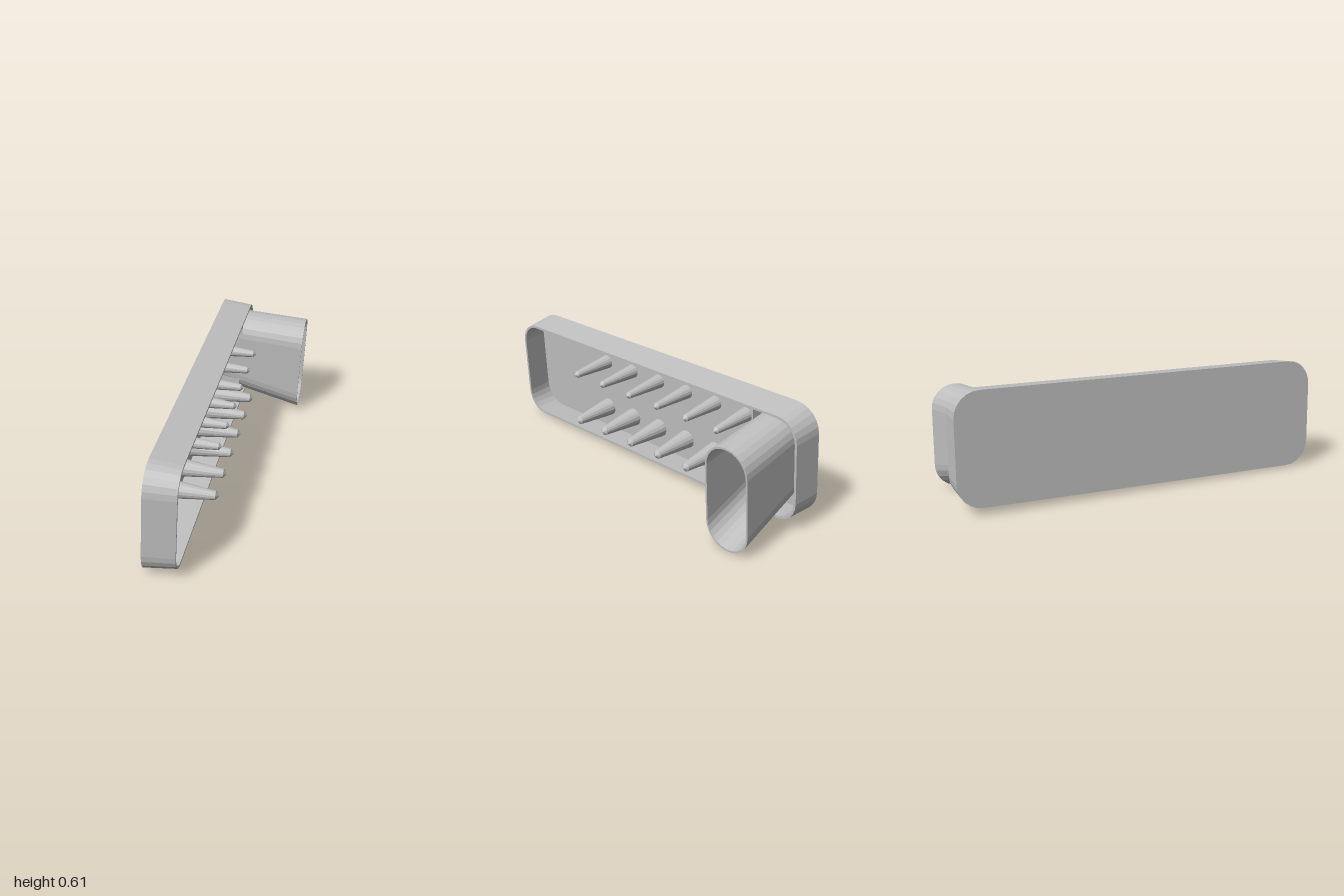
import * as THREE from 'three';

const grey = new THREE.MeshStandardMaterial({ color: 0xc0c0c0 });
grey.name = 'plain grey';

// Rounded rectangle cross-section at depth x, centred on (y, z), with half sizes hy and hz
function ring(x, y, z, hy, hz, r, steps = 6) {
  const pts = [];
  const corners = [[1, 1], [-1, 1], [-1, -1], [1, -1]];
  corners.forEach(([sy, sz], k) => {
    for (let i = 0; i <= steps; i++) {
      const a = (k + i / steps) * Math.PI / 2;
      pts.push([x, y + sy * (hy - r) + r * Math.cos(a), z + sz * (hz - r) + r * Math.sin(a)]);
    }
  });
  return pts;
}

// Skin through successive rings, optionally closing both ends
function loft(rings, capped) {
  const pos = [];
  const tri = (...p) => p.forEach(v => pos.push(...v));
  const n = rings[0].length;
  for (let j = 0; j < rings.length - 1; j++) {
    for (let i = 0; i < n; i++) {
      const k = (i + 1) % n;
      const a = rings[j][i], b = rings[j][k], c = rings[j + 1][k], d = rings[j + 1][i];
      tri(a, b, c);
      tri(a, c, d);
    }
  }
  if (capped) {
    const first = rings[0], last = rings[rings.length - 1];
    for (let i = 1; i < n - 1; i++) {
      tri(first[0], first[i + 1], first[i]);
      tri(last[0], last[i], last[i + 1]);
    }
  }
  const g = new THREE.BufferGeometry();
  g.setAttribute('position', new THREE.Float32BufferAttribute(pos, 3));
  g.computeVertexNormals();
  return g;
}

function add(parent, name, geometry) {
  const mesh = new THREE.Mesh(geometry, grey);
  mesh.name = name;
  parent.add(mesh);
  return mesh;
}

// Tapered peg with a blunt conical tip, standing along +x
function pegGeometry(rBase, rTip) {
  const profile = [[rBase, 0], [rTip, 0.224], [0, 0.24]].map(p => new THREE.Vector2(...p));
  const g = new THREE.LatheGeometry(profile, 16).toNonIndexed();
  g.computeVertexNormals();
  return g.rotateZ(-Math.PI / 2);
}

export function createModel() {
  const model = new THREE.Group();
  model.name = 'pegTray';

  // Tilted frame: x is the tray depth, y its height, z its length
  const body = new THREE.Group();
  body.name = 'tiltedBody';
  const length = new THREE.Vector3(0.115, -0.016, 0.993).normalize();
  const depth = new THREE.Vector3(0.05, 1, 0.01).cross(length).normalize();
  const height = length.clone().cross(depth);
  body.quaternion.setFromRotationMatrix(new THREE.Matrix4().makeBasis(depth, height, length));
  body.position.set(-0.141, 0.315, 0.018);
  model.add(body);

  // Shallow tray with drafted thin walls
  const floor = 0.012, rim = 0.156;
  add(body, 'tray', loft([
    ring(0, 0, 0, 0.288, 0.984, 0.13),
    ring(rim, 0, -0.006, 0.271, 0.972, 0.115),
    ring(rim, 0, -0.006, 0.259, 0.960, 0.103),
    ring(floor, 0, 0, 0.275, 0.972, 0.118),
  ], true));

  // Thin cross wall beside the cup
  add(body, 'divider', new THREE.BoxGeometry(0.132, 0.526, 0.008)).position.set(0.076, 0, -0.706);

  // Open oval cup leaning out of the tray
  const wall = 0.009;
  add(body, 'cup', loft([
    ring(0.01, 0.042, -0.81, 0.22, 0.117, 0.113),
    ring(0.484, -0.035, -0.84, 0.268, 0.124, 0.12),
    ring(0.484, -0.035, -0.84, 0.268 - wall, 0.124 - wall, 0.12 - wall),
    ring(0.01, 0.042, -0.81, 0.22 - wall, 0.117 - wall, 0.113 - wall),
  ], false));

  // Two rows of pegs, the lower row thicker
  const rows = [
    { name: 'upperPeg', y: 0.125, z: 0.43, geo: pegGeometry(0.037, 0.018) },
    { name: 'lowerPeg', y: -0.153, z: 0.44, geo: pegGeometry(0.049, 0.023) },
  ];
  for (const row of rows) {
    for (let i = 0; i < 6; i++) {
      add(body, row.name, row.geo).position.set(floor - 0.002, row.y, row.z - i * 0.198);
    }
  }
  return model;
}
